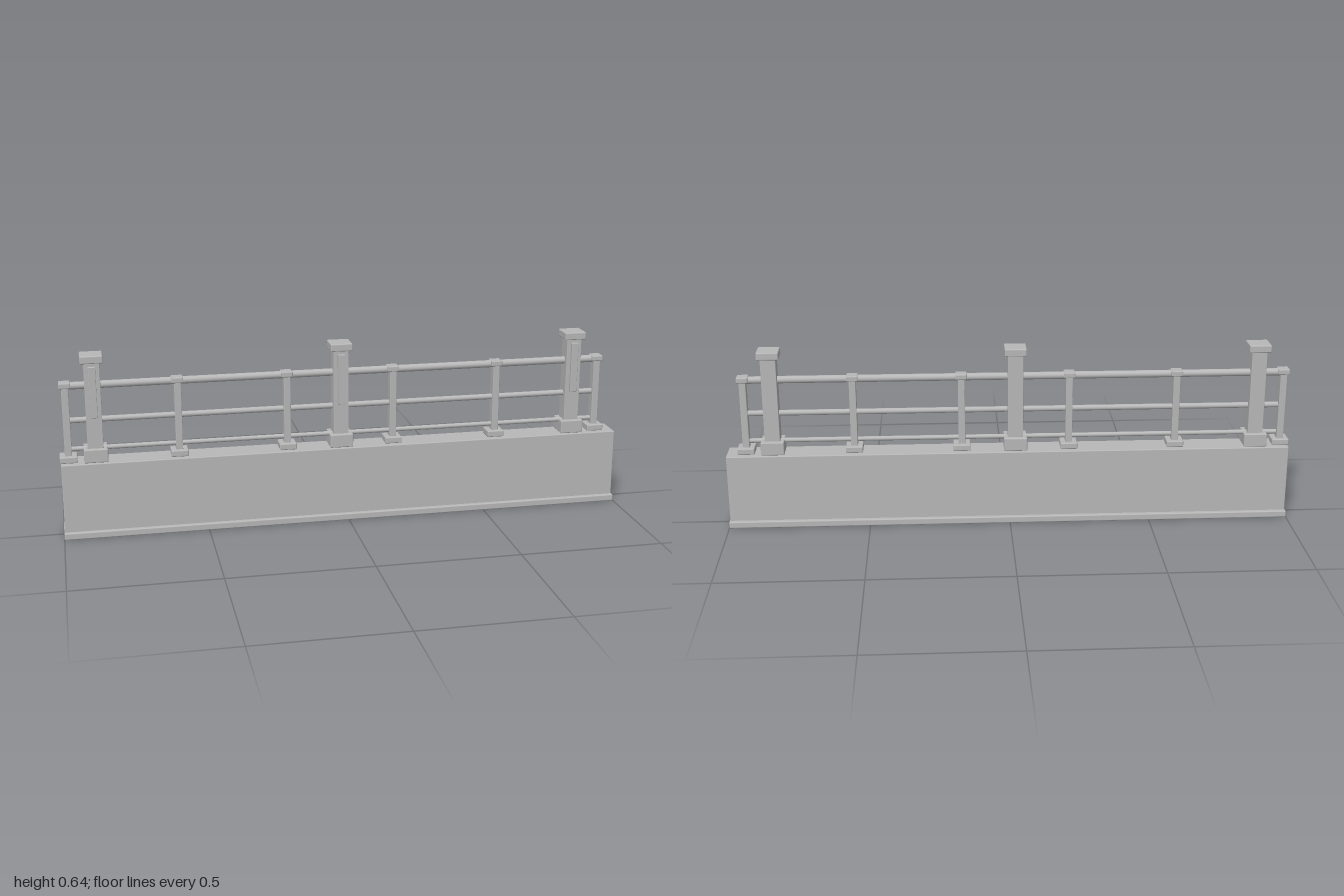
import * as THREE from 'three';
import { RoundedBoxGeometry } from 'three/addons/geometries/RoundedBoxGeometry.js';

export function createModel() {
  const model = new THREE.Group();
  model.name = 'railingWall';
  const stone = new THREE.MeshStandardMaterial({ color: 0xb8b8b8 });
  stone.name = 'grey stone';

  // Box with softened edges, placed by its bottom and top heights
  const block = (parent, name, w, d, y0, y1, z = 0, bevel = 0.004) => {
    const geometry = bevel
      ? new RoundedBoxGeometry(w, y1 - y0, d, 2, bevel)
      : new THREE.BoxGeometry(w, y1 - y0, d);
    const mesh = new THREE.Mesh(geometry, stone);
    mesh.name = name;
    mesh.position.set(0, (y0 + y1) / 2, z);
    parent.add(mesh);
  };

  // Low wall on a projecting plinth
  block(model, 'plinth', 2, 0.129, 0, 0.024);
  block(model, 'wall', 1.994, 0.1, 0.01, 0.266, 0, 0.003);

  // Tall pillars with foot, cap and a raised strip on the front
  for (const x of [-0.877, -0.021, 0.834]) {
    const pillar = new THREE.Group();
    pillar.name = 'pillar';
    pillar.position.x = x;
    block(pillar, 'pillarFoot', 0.082, 0.082, 0.266, 0.314);
    block(pillar, 'pillarShaft', 0.054, 0.054, 0.3, 0.625, 0, 0.002);
    block(pillar, 'pillarCap', 0.077, 0.077, 0.614, 0.641);
    block(pillar, 'pillarStrip', 0.025, 0.014, 0.422, 0.602, 0.03, 0.002);
    model.add(pillar);
  }

  // Slim posts, evenly spaced
  for (let i = 0; i < 6; i++) {
    const post = new THREE.Group();
    post.name = 'post';
    post.position.x = -0.97 + i * 0.3796;
    block(post, 'postFoot', 0.06, 0.062, 0.266, 0.289);
    block(post, 'postShaft', 0.024, 0.034, 0.28, 0.535, 0, 0.002);
    block(post, 'postCap', 0.04, 0.043, 0.527, 0.547);
    model.add(post);
  }

  // Round rails running through all the posts
  for (const [name, y, radius] of [
    ['topRail', 0.533, 0.013],
    ['middleRail', 0.411, 0.01],
    ['bottomRail', 0.309, 0.008],
  ]) {
    const rail = new THREE.Mesh(new THREE.CylinderGeometry(radius, radius, 1.9, 16), stone);
    rail.name = name;
    rail.rotation.z = Math.PI / 2;
    rail.position.set(-0.021, y, 0);
    model.add(rail);
  }
  return model;
}
